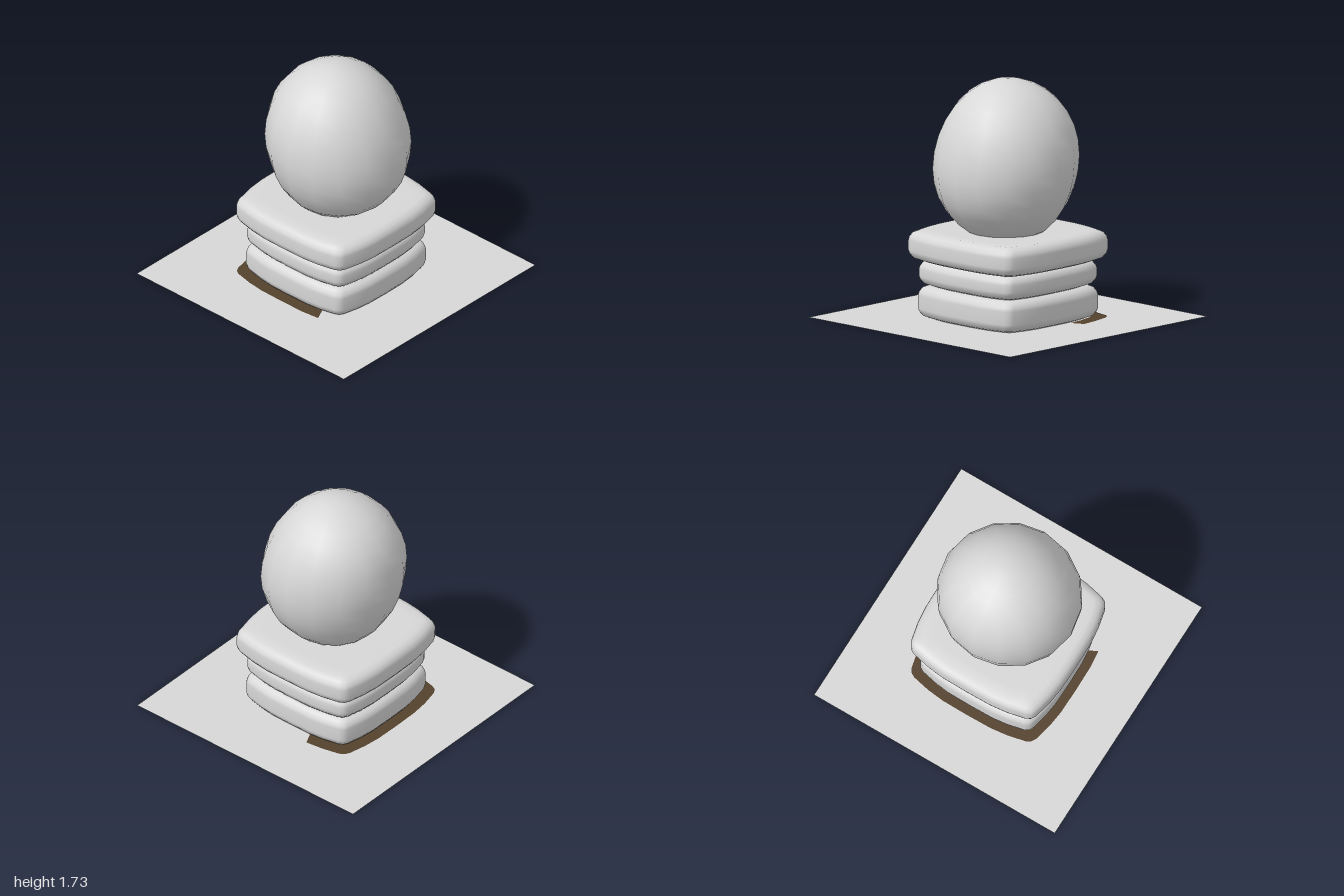
import * as THREE from 'three';
import { mergeVertices } from 'three/addons/utils/BufferGeometryUtils.js';

const stone = new THREE.MeshStandardMaterial({ color: 0xd7d7d7, side: THREE.DoubleSide });
stone.name = 'pale stone';
const soil = new THREE.MeshStandardMaterial({ color: 0x54422c, side: THREE.DoubleSide });
soil.name = 'brown soil';

// One side of the bulging square footprint; four turns make the outline.
const side = [[0.5, -0.5], [0.52, -0.465], [0.55, -0.33], [0.565, -0.2], [0.568, 0],
  [0.565, 0.2], [0.55, 0.33], [0.52, 0.465]];
const outline = [];
for (let q = 0; q < 4; q++) {
  for (const [x, z] of side) {
    const c = [1, 0, -1, 0][q], s = [0, 1, 0, -1][q];
    outline.push([(x * c - z * s) / 0.568, (x * s + z * c) / 0.568]);
  }
}

// Loft scaled copies of the footprint; each profile entry is [half width, height].
function loft(name, profile, material, tilt = () => 0) {
  const n = outline.length, pos = [], idx = [];
  for (const [s, y] of profile) {
    for (const [x, z] of outline) pos.push(x * s, y + tilt(x * s, z * s), z * s);
  }
  for (let i = 0; i < profile.length - 1; i++) {
    for (let j = 0; j < n; j++) {
      const a = i * n + j, b = i * n + (j + 1) % n;
      if (profile[i][0] > 0) idx.push(a, a + n, b);
      if (profile[i + 1][0] > 0) idx.push(b, a + n, b + n);
    }
  }
  let g = new THREE.BufferGeometry();
  g.setAttribute('position', new THREE.Float32BufferAttribute(pos, 3));
  g.setIndex(idx);
  g = mergeVertices(g, 1e-5);
  g.computeVertexNormals();
  const mesh = new THREE.Mesh(g, material);
  mesh.name = name;
  return mesh;
}

// Cushion-like slab with rounded edges.
function slab(name, y0, y1, half) {
  const h = y1 - y0, r = Math.min(0.07, h * 0.36);
  const edge = [[0, 0], [half * 0.75, 0], [half - 0.065, 0], [half - 0.025, r * 0.25],
    [half - 0.006, r * 0.65], [half, r]];
  const lower = edge.map(([s, y]) => [s, y0 + y]);
  const upper = edge.map(([s, y]) => [s, y1 - y]).reverse();
  return loft(name, [...lower, ...upper], stone);
}

// Egg with its front bulging low and its back bulging high.
function egg() {
  let g = new THREE.SphereGeometry(1, 16, 16);
  g.deleteAttribute('uv');
  g.deleteAttribute('normal');
  g = mergeVertices(g, 1e-5);
  const p = g.attributes.position;
  for (let i = 0; i < p.count; i++) {
    const x = p.getX(i), y = p.getY(i), z = p.getZ(i), mid = 1 - y * y;
    p.setXYZ(i, x * 0.522, 1.13 + y * (y > 0 ? 0.602 : 0.58) - 0.07 * z * mid, z * 0.52 + 0.02 * mid);
  }
  g.computeVertexNormals();
  const mesh = new THREE.Mesh(g, stone);
  mesh.name = 'egg';
  return mesh;
}

export function createModel() {
  const model = new THREE.Group();
  model.name = 'eggOnPedestal';

  const groundY = 0.004;
  const ground = new THREE.Mesh(new THREE.PlaneGeometry(2, 2).rotateX(-Math.PI / 2), stone);
  ground.name = 'groundPlate';
  ground.position.y = groundY;

  // Slightly tilted soil ring: above the ground at the back, below it at the front
  const soilTilt = (x, z) => 0.006 * (0.07 - z - 0.48 * x);
  const soilRing = loft('soilRing', [[0.47, groundY], [0.565, groundY]], soil, soilTilt);

  model.add(
    ground,
    soilRing,
    slab('baseSlab', 0.002, 0.237, 0.512),
    slab('middleSlab', 0.237, 0.423, 0.507),
    slab('topSlab', 0.422, 0.636, 0.568),
    egg(),
  );
  return model;
}
